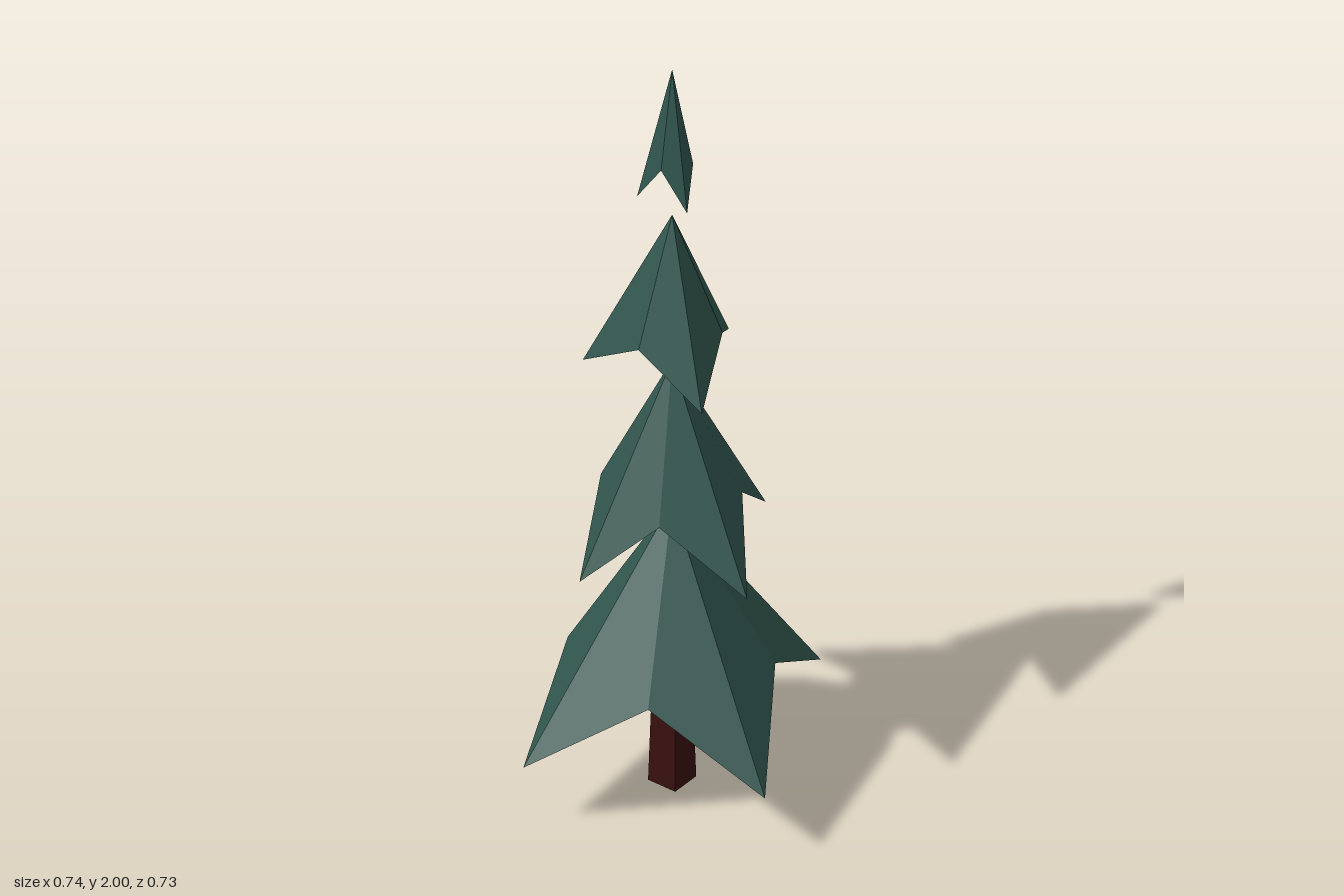
import * as THREE from 'three';

// One open star-shaped cone: rim alternates low tips and higher valleys, [x, z] going round from +z to +x
function starCone(name, apexY, tipY, valleyY, rim, material) {
  const rimPoint = (i) => {
    const [x, z] = rim[i % rim.length];
    return [x, i % 2 ? valleyY : tipY, z];
  };
  const positions = [];
  for (let i = 0; i < rim.length; i++) {
    positions.push(0, apexY, 0, ...rimPoint(i), ...rimPoint(i + 1));
  }
  const geometry = new THREE.BufferGeometry();
  geometry.setAttribute('position', new THREE.Float32BufferAttribute(positions, 3));
  geometry.computeVertexNormals();
  const mesh = new THREE.Mesh(geometry, material);
  mesh.name = name;
  return mesh;
}

export function createModel() {
  const needles = new THREE.MeshStandardMaterial({ color: 0x31564f, flatShading: true, side: THREE.DoubleSide });
  needles.name = 'pineGreen';
  const bark = new THREE.MeshStandardMaterial({ color: 0x3a1111, flatShading: true });
  bark.name = 'darkBark';

  const tree = new THREE.Group();
  tree.name = 'pineTree';

  // Four-sided tapering trunk, ending inside the second tier
  const trunk = new THREE.Mesh(new THREE.CylinderGeometry(0.028, 0.056, 0.84, 4), bark);
  trunk.position.y = 0.42;
  trunk.name = 'trunk';
  tree.add(trunk);

  // Branch tiers: two four-pointed below, two three-pointed above
  tree.add(
    starCone('bottomBranches', 0.78, 0.18, 0.36, [
      [0.17, 0.363], [0.23, 0.08], [0.368, -0.175], [0.08, -0.233],
      [-0.17, -0.365], [-0.232, -0.085], [-0.368, 0.17], [-0.085, 0.23],
    ], needles),
    starCone('lowerBranches', 1.18, 0.665, 0.82, [
      [0.143, 0.25], [0.158, 0.04], [0.235, -0.134], [0.042, -0.163],
      [-0.132, -0.233], [-0.156, -0.076], [-0.232, 0.13], [-0.05, 0.157],
    ], needles),
    starCone('upperBranches', 1.59, 1.155, 1.27, [
      [0.045, 0.19], [0.113, 0.033], [0.15, -0.143],
      [-0.028, -0.118], [-0.2, -0.062], [-0.088, 0.078],
    ], needles),
    starCone('topBranches', 2.0, 1.64, 1.74, [
      [0.026, 0.07], [0.047, 0.014], [0.051, -0.068],
      [-0.016, -0.048], [-0.08, -0.013], [-0.03, 0.033],
    ], needles),
  );
  return tree;
}
